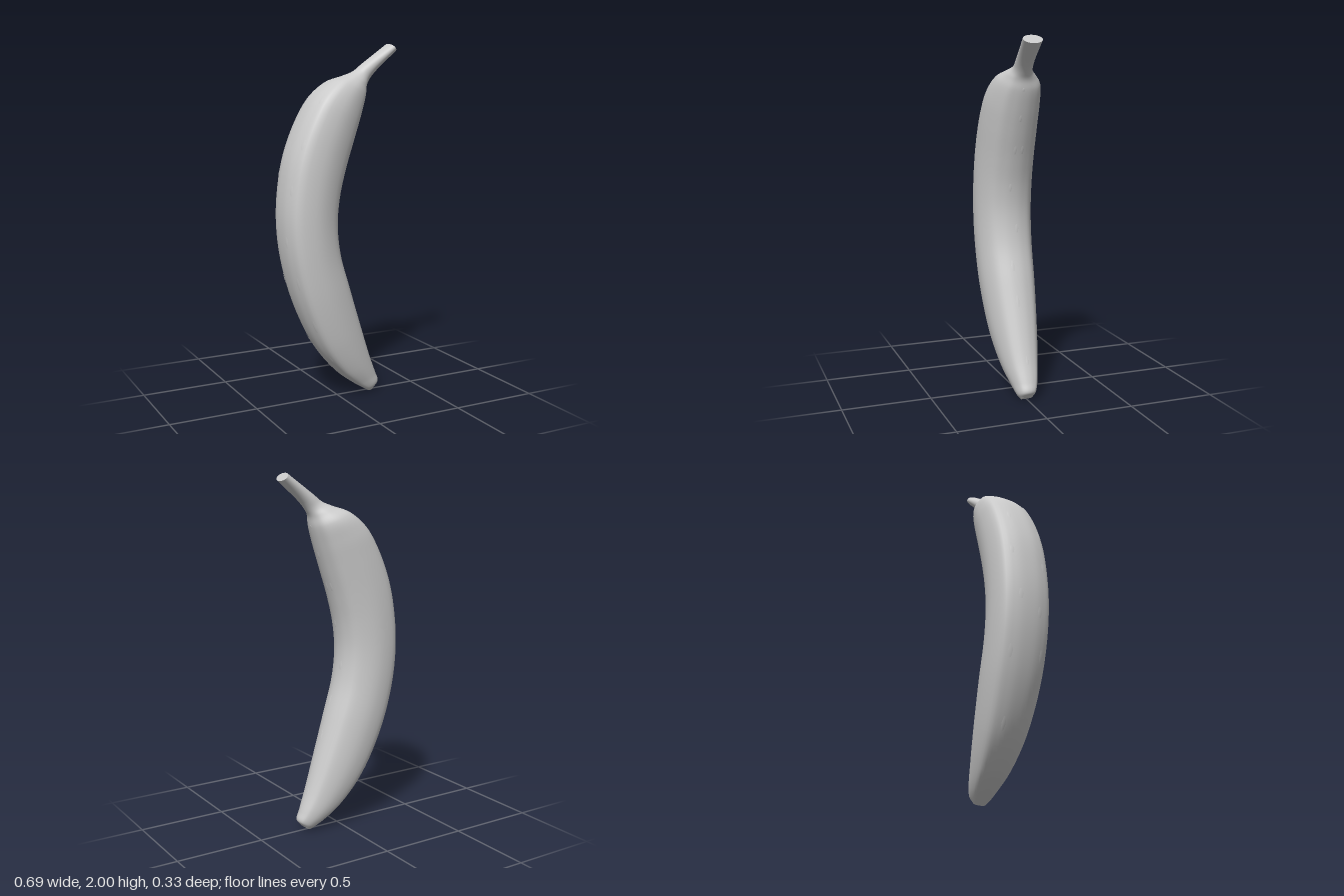
import * as THREE from 'three';

// Stations from tip to stem: outer x, y, inner x, y, half depth, depth centre
const stations = [
  [0.195, 0.0, 0.235, 0.025, 0.032, 0.005], [0.165, 0.018, 0.26, 0.06, 0.052, 0.004],
  [0.1, 0.06, 0.243, 0.11, 0.072, 0], [0.0, 0.14, 0.2, 0.22, 0.1, 0],
  [-0.13, 0.3, 0.13, 0.43, 0.132, 0], [-0.25, 0.55, 0.06, 0.65, 0.153, 0],
  [-0.32, 0.8, 0.0, 0.85, 0.16, 0], [-0.345, 1.02, -0.018, 1.02, 0.162, 0],
  [-0.335, 1.22, -0.003, 1.17, 0.162, 0], [-0.298, 1.41, 0.035, 1.32, 0.16, 0],
  [-0.22, 1.6, 0.087, 1.48, 0.155, 0], [-0.14, 1.72, 0.13, 1.61, 0.145, -0.002],
  [-0.04, 1.797, 0.16, 1.71, 0.122, -0.004], [0.04, 1.825, 0.17, 1.765, 0.085, 0.002],
  [0.1, 1.85, 0.187, 1.797, 0.056, 0.006], [0.15, 1.888, 0.222, 1.842, 0.05, 0.01],
  [0.308, 2.0, 0.345, 1.957, 0.055, 0.02],
];
const last = stations.length - 1;
const outer = new THREE.CatmullRomCurve3(stations.map((s) => new THREE.Vector3(s[0], s[1], s[5])));
const inner = new THREE.CatmullRomCurve3(stations.map((s) => new THREE.Vector3(s[2], s[3], s[4])));

// Ridged body section: across (0 outer, 1 inner) and depth (-1 to 1)
const half = [[0, 0], [0.03, 0.5], [0.15, 0.9], [0.5, 1], [0.85, 0.74], [0.97, 0.36], [1, 0]];
const mirrored = half.slice(1, -1).reverse().map(([t, w]) => [t, -w]);
const section = new THREE.CatmullRomCurve3(
  [...half, ...mirrored].map(([t, w]) => new THREE.Vector3(t, w, 0)), true);

// Point on the peel: v in station numbers, a in turns around the section
function peelPoint(v, a) {
  const k = THREE.MathUtils.clamp(v / last, 0, 1);
  const turn = ((a % 1) + 1) % 1;
  const o = outer.getPoint(k), i = inner.getPoint(k), s = section.getPoint(turn);
  const round = THREE.MathUtils.smoothstep(v, 12, 14.5);
  const ang = turn * Math.PI * 2;
  const t = THREE.MathUtils.lerp(s.x, 0.5 - 0.5 * Math.cos(ang), round);
  const w = THREE.MathUtils.lerp(s.y, Math.sin(ang), round);
  return new THREE.Vector3(
    THREE.MathUtils.lerp(o.x, i.x, t), THREE.MathUtils.lerp(o.y, i.y, t), o.z + w * i.z);
}

function peelNormal(v, a) {
  const e = 0.01;
  const da = peelPoint(v, a + e).sub(peelPoint(v, a - e));
  const dv = peelPoint(v + e, a).sub(peelPoint(v - e, a));
  return da.cross(dv).normalize();
}

function makeGeometry(points, index) {
  const g = new THREE.BufferGeometry().setFromPoints(points);
  g.setIndex(index);
  g.computeVertexNormals();
  return g;
}

// Loft of the whole peel
function peelGeometry(rows, cols) {
  const points = [], index = [];
  for (let i = 0; i <= rows; i++) {
    for (let j = 0; j < cols; j++) {
      points.push(peelPoint((i / rows) * last, j / cols));
      if (i === rows) continue;
      const a = i * cols + j, b = i * cols + (j + 1) % cols;
      index.push(a, b, a + cols, b, b + cols, a + cols);
    }
  }
  return makeGeometry(points, index);
}

// Fan closing one end
function capGeometry(v, cols, up) {
  const points = [], index = [], centre = new THREE.Vector3();
  for (let j = 0; j < cols; j++) {
    points.push(peelPoint(v, j / cols));
    centre.addScaledVector(points[j], 1 / cols);
    const n = (j + 1) % cols;
    index.push(cols, up ? j : n, up ? n : j);
  }
  points.push(centre);
  return makeGeometry(points, index);
}

// Thin six-sided blemish lying on the peel
function blemishGeometry(v, a) {
  const points = [], index = [];
  for (let j = 0; j < 6; j++) {
    const q = (j / 6) * Math.PI * 2;
    const pv = v + 0.16 * Math.sin(q), pa = a + 0.014 * Math.cos(q);
    points.push(peelPoint(pv, pa).addScaledVector(peelNormal(pv, pa), 0.001));
    index.push(6, j, (j + 1) % 6);
  }
  points.push(peelPoint(v, a).addScaledVector(peelNormal(v, a), 0.003));
  return makeGeometry(points, index);
}

export function createModel() {
  const group = new THREE.Group();
  group.name = 'banana';
  const material = new THREE.MeshStandardMaterial({ color: 0xcccccc, roughness: 0.7 });
  const add = (name, geometry, parent = group) => {
    const mesh = new THREE.Mesh(geometry, material);
    mesh.name = name;
    parent.add(mesh);
  };

  add('peel', peelGeometry(96, 48));
  add('blossomTip', capGeometry(0, 48, false));
  add('stemEnd', capGeometry(last, 48, true));

  // Blemishes along the inner and outer curves
  const blemishes = new THREE.Group();
  blemishes.name = 'blemishes';
  group.add(blemishes);
  const spots = [
    [3, 0.51], [4.5, 0.48], [5.4, 0.47], [6.5, 0.53], [8, 0.47], [9.4, 0.48], [9.4, 0.54], [10.6, 0.49],
    [12.1, 0.48], [3.6, 0.1], [4.6, 0.12], [5.6, 0.1], [6.6, 0.06], [8, 0.1], [9.3, 0.12], [10.8, 0.11],
    [4.2, 0.93], [5.6, 0.9], [7, 0.94], [8.4, 0.9], [9.8, 0.93], [11.2, 0.95],
  ];
  for (const [v, a] of spots) add('blemish', blemishGeometry(v, a), blemishes);
  return group;
}
